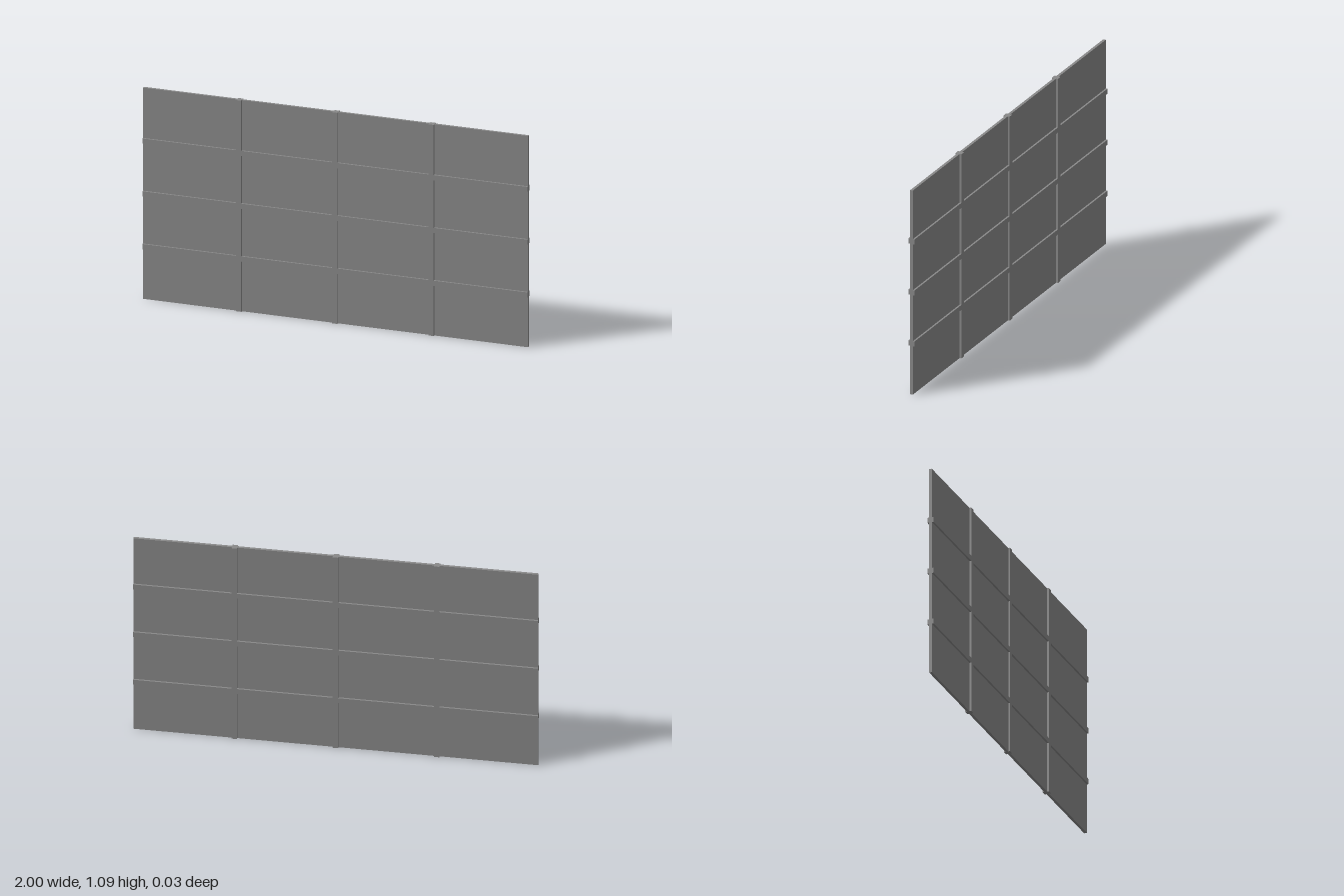
import * as THREE from 'three';

const WIDTH = 2, HEIGHT = 1.093, BAR = 0.027, BAR_DEPTH = 0.033, PANEL_DEPTH = 0.014;

export function createModel() {
  const model = new THREE.Group();
  model.name = 'griddedPanel';
  const material = new THREE.MeshStandardMaterial({ color: 0x888888, flatShading: true });

  function box(name, w, h, d, x, y) {
    const mesh = new THREE.Mesh(new THREE.BoxGeometry(w, h, d), material);
    mesh.name = name;
    mesh.position.set(x, y, 0);
    model.add(mesh);
  }

  // Thin pane filling the whole grid
  box('pane', WIDTH, HEIGHT, PANEL_DEPTH, 0, HEIGHT / 2);

  // Upright and level bars at the quarters, standing proud of the pane on both faces
  for (const i of [-1, 0, 1]) {
    box('uprightBar', BAR, HEIGHT, BAR_DEPTH, i * WIDTH / 4, HEIGHT / 2);
    box('levelBar', WIDTH, BAR, BAR_DEPTH, 0, HEIGHT / 2 + i * HEIGHT / 4);
  }
  return model;
}
